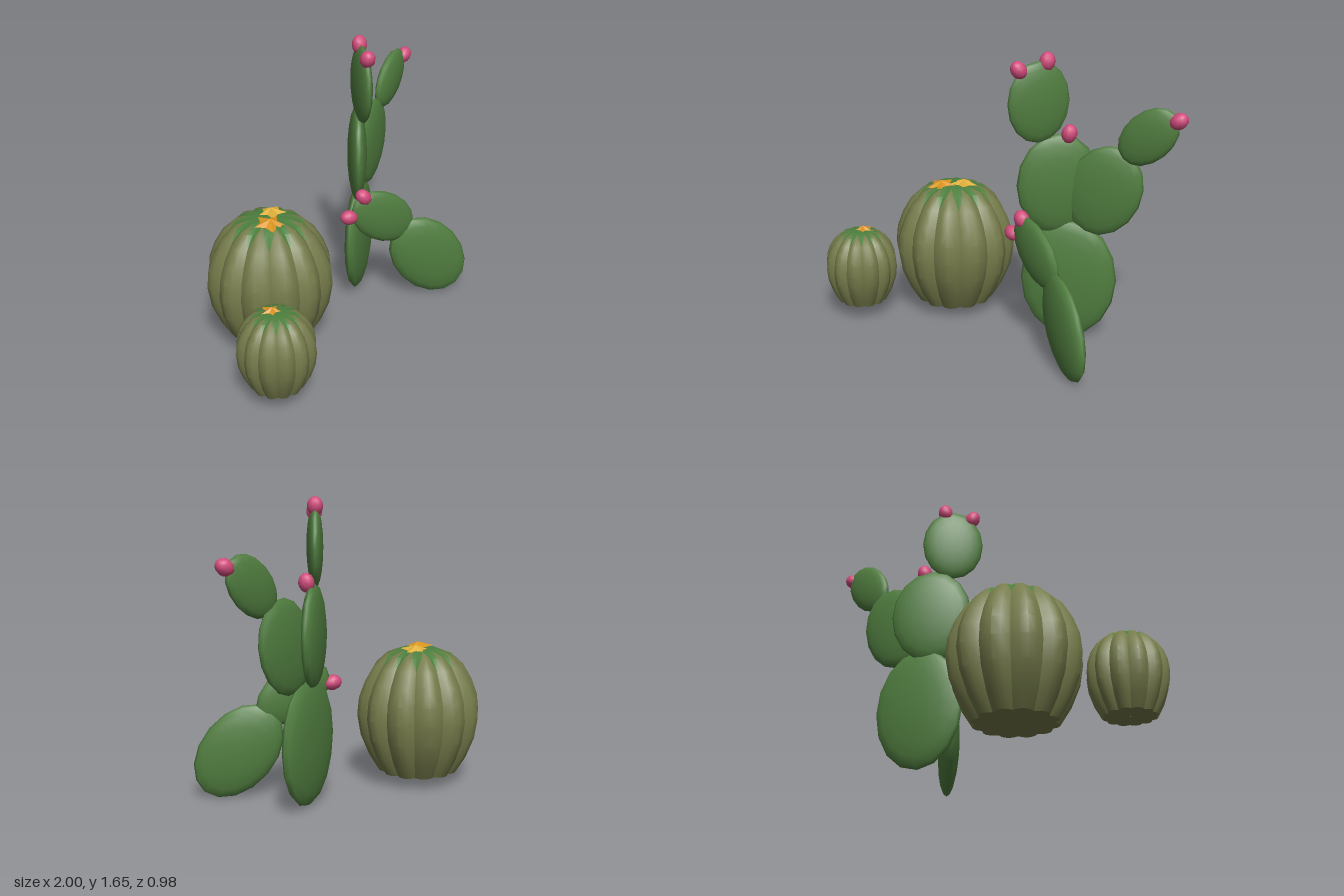
import * as THREE from 'three';
import { toCreasedNormals } from 'three/addons/utils/BufferGeometryUtils.js';

const material = (name, color) => {
  const m = new THREE.MeshStandardMaterial({ color });
  m.name = name;
  return m;
};

export function createModel() {
  const padGreen = material('pad green', 0x507d3f);
  const olive = material('olive skin', 0x767c4b);
  const crownGreen = material('crown green', 0x4d7f3e);
  const orange = material('orange petals', 0xdb951f);
  const yellow = material('yellow petals', 0xdfaf3a);
  const pink = material('pink fruit', 0xd24c7c);

  const model = new THREE.Group();
  model.name = 'cactusCluster';
  const add = (parent, name, geometry, mat) => {
    const mesh = new THREE.Mesh(geometry, mat);
    mesh.name = name;
    parent.add(mesh);
    return mesh;
  };

  // Ribbed barrel: four columns per rib (groove, side, ridge, side);
  // the crown colour runs down the grooves in tapering spikes.
  const RIBS = 12, COLS = RIBS * 4, RIB = [0.88, 0.97, 1, 0.97];
  function barrelGeometry(profile) {
    const point = (row, col) => {
      const a = ((col - 2) / COLS) * Math.PI * 2;
      const r = profile[row][0] * RIB[col % 4];
      return [r * Math.sin(a), profile[row][1], r * Math.cos(a)];
    };
    const faces = [[], []]; // olive, crown
    const last = profile.length - 1;
    for (let row = 0; row < last; row++) {
      const fromTop = last - 1 - row;
      for (let c = 0; c < COLS; c++) {
        const k = c % 4, grooveLeft = k < 2, byGroove = k === 0 || k === 3;
        const g = grooveLeft ? c : c + 1, r = grooveLeft ? c + 1 : c;
        const upper = [point(row + 1, r), point(row + 1, g), point(row, g)];
        const lower = [point(row + 1, r), point(row, g), point(row, r)];
        if (!grooveLeft) { upper.reverse(); lower.reverse(); }
        const upperGreen = fromTop < 2 || (fromTop === 2 && byGroove);
        const lowerGreen = fromTop < 1 || (fromTop === 1 && byGroove);
        faces[upperGreen ? 1 : 0].push(...upper.flat());
        faces[lowerGreen ? 1 : 0].push(...lower.flat());
      }
    }
    const geo = new THREE.BufferGeometry();
    geo.setAttribute('position', new THREE.Float32BufferAttribute(faces[0].concat(faces[1]), 3));
    const smooth = toCreasedNormals(geo, 0.6);
    smooth.clearGroups();
    smooth.addGroup(0, faces[0].length / 3, 0);
    smooth.addGroup(faces[0].length / 3, faces[1].length / 3, 1);
    return smooth;
  }

  // Five-pointed flower: a low cone with every other rim point drawn in
  function flowerGeometry(radius) {
    const geo = new THREE.ConeGeometry(radius, 0.03, 10, 1).toNonIndexed();
    const p = geo.attributes.position;
    for (let i = 0; i < p.count; i++) {
      const x = p.getX(i), z = p.getZ(i);
      if (Math.hypot(x, z) < radius * 0.5) continue;
      const step = Math.round((Math.atan2(x, z) / (Math.PI * 2)) * 10);
      if (step % 2 !== 0) { p.setX(i, x * 0.58); p.setZ(i, z * 0.58); }
    }
    geo.computeVertexNormals();
    return geo;
  }

  const barrels = [
    {
      name: 'largeBarrel', at: [-0.41, 0, -0.14],
      profile: [[0.002, 0.075], [0.225, 0.075], [0.285, 0.17], [0.335, 0.29], [0.355, 0.41],
        [0.345, 0.51], [0.312, 0.6], [0.26, 0.69], [0.19, 0.755], [0.11, 0.785], [0.002, 0.79]],
      flowers: [[-0.045, 0.797, 0.06, 0.092, orange, 0.1], [0.05, 0.799, -0.03, 0.088, yellow, -0.1]],
    },
    {
      name: 'smallBarrel', at: [-0.79, 0, 0.275],
      profile: [[0.002, 0.1], [0.14, 0.1], [0.178, 0.17], [0.205, 0.25], [0.212, 0.32],
        [0.205, 0.38], [0.187, 0.43], [0.155, 0.48], [0.115, 0.515], [0.065, 0.53], [0.002, 0.532]],
      flowers: [[0, 0.538, -0.025, 0.068, orange, 0.05]],
    },
  ];
  for (const { name, at, profile, flowers } of barrels) {
    const group = new THREE.Group();
    group.name = name;
    group.position.set(...at);
    add(group, 'ribbedBody', barrelGeometry(profile), [olive, crownGreen]);
    for (const [x, y, z, r, mat, tilt] of flowers) {
      const flower = add(group, 'flower', flowerGeometry(r), mat);
      flower.position.set(x, y, z);
      flower.rotation.set(tilt, Math.PI, 0);
    }
    model.add(group);
  }

  // Flat oval pads with egg-shaped fruits on their rims
  const padGeo = new THREE.SphereGeometry(1, 16, 10).rotateX(Math.PI / 2);
  const fruitGeo = new THREE.SphereGeometry(1, 10, 8);
  // name, centre, half sizes, turn and lean in degrees, fruit centres
  const pads = [
    ['lowerBackPad', [0.38, 0.37, -0.16], [0.268, 0.352, 0.062], 27, 0, []],
    ['lowerFrontPad', [0.585, 0.27, 0.212], [0.206, 0.297, 0.06], -33, 40, []],
    ['frontBudPad', [0.315, 0.585, 0.075], [0.148, 0.23, 0.045], -22, 56,
      [[0.19, 0.74, 0.03], [0.105, 0.63, -0.005]]],
    ['middlePad', [0.32, 0.925, -0.13], [0.23, 0.285, 0.056], 43, 0, [[0.375, 1.215, -0.145]]],
    ['middleSidePad', [0.555, 0.905, -0.22], [0.208, 0.265, 0.05], 18, -22, []],
    ['topPad', [0.245, 1.39, -0.04], [0.177, 0.223, 0.045], 55, 0,
      [[0.18, 1.57, 0.055], [0.27, 1.605, -0.078]]],
    ['topSidePad', [0.785, 1.235, -0.265], [0.13, 0.196, 0.042], 10, -46, [[0.945, 1.34, -0.285]]],
  ];
  const paddle = new THREE.Group();
  paddle.name = 'paddleCactus';
  model.add(paddle);
  const up = new THREE.Vector3(0, 1, 0);
  for (const [name, centre, size, turn, lean, fruits] of pads) {
    const pad = add(paddle, name, padGeo, padGreen);
    pad.position.set(...centre);
    pad.scale.set(...size);
    pad.rotation.set(0, THREE.MathUtils.degToRad(turn), THREE.MathUtils.degToRad(lean), 'YXZ');
    for (const f of fruits) {
      const fruit = add(paddle, 'fruit', fruitGeo, pink);
      fruit.position.set(...f);
      fruit.scale.set(0.043, 0.053, 0.043);
      fruit.quaternion.setFromUnitVectors(up, fruit.position.clone().sub(pad.position).normalize());
    }
  }
  return model;
}
